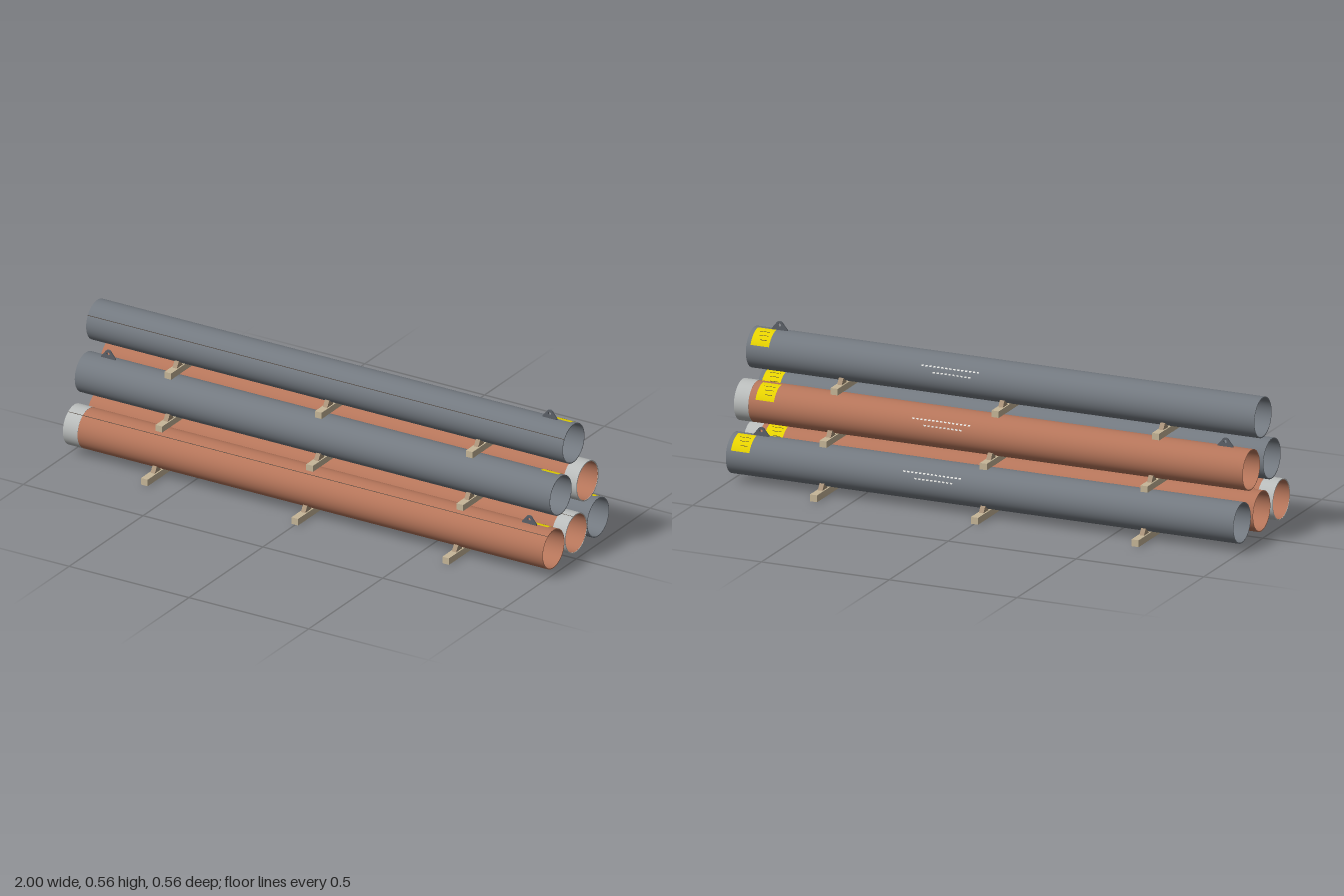
import * as THREE from 'three';
import { mergeGeometries } from 'three/addons/utils/BufferGeometryUtils.js';

const R = 0.075, WALL = 0.004;

const mat = (name, color, side = THREE.FrontSide) =>
  Object.assign(new THREE.MeshStandardMaterial({ color, side }), { name });

// Hollow tube along x with crisp rims
function tubeGeometry(x0, x1, ro, ri) {
  const p = [[ro, x0], [ro, x1], [ri, x1], [ri, x0], [ro, x0]].map(([r, y]) => new THREE.Vector2(r, y));
  const parts = [0, 1, 2, 3].map(i => new THREE.LatheGeometry([p[i], p[i + 1]], 64));
  return mergeGeometries(parts).rotateZ(-Math.PI / 2);
}

// Thin curved plate on a pipe; angles in degrees up from +z towards the back
function plateGeometry(x0, x1, a0, a1, r) {
  const t0 = THREE.MathUtils.degToRad(-a1), len = THREE.MathUtils.degToRad(a1 - a0);
  const segs = Math.max(1, Math.ceil((a1 - a0) / 5));
  return new THREE.CylinderGeometry(r, r, x1 - x0, segs, 1, true, t0, len)
    .rotateZ(-Math.PI / 2).translate((x0 + x1) / 2, 0, 0);
}

// Lifting lug: rounded tapered plate with an eye
function lugGeometry() {
  const s = new THREE.Shape();
  s.moveTo(-0.03, -0.003);
  s.lineTo(0.03, -0.003);
  s.lineTo(0.03, 0.004);
  s.lineTo(0.013, 0.024);
  s.absarc(0, 0.018, 0.0145, 0.43, Math.PI - 0.43, false);
  s.lineTo(-0.03, 0.004);
  s.closePath();
  const eye = new THREE.Path();
  eye.absarc(0, 0.018, 0.006, 0, Math.PI * 2, true);
  s.holes.push(eye);
  return new THREE.ExtrudeGeometry(s, { depth: 0.006, bevelEnabled: false, curveSegments: 12 })
    .translate(0, R, -0.003);
}

// Chock cross-section in (z, y), extruded along x
function chockGeometry(outer, side) {
  const s = new THREE.Shape();
  [[0, 0], [-0.042, 0], [-0.026, 0.022], [-0.014, 0.022]].forEach(([z, y], i) =>
    i ? s.lineTo(z, y) : s.moveTo(z, y));
  s.closePath();
  const g = new THREE.ExtrudeGeometry(s, { depth: 0.018, bevelEnabled: false })
    .translate(outer, 0, -0.009).rotateY(-Math.PI / 2);
  return side > 0 ? g : g.rotateY(Math.PI);
}

export function createModel() {
  const M = {
    grey: mat('steel grey', 0x737980),
    rust: mat('rust primer', 0xb5755a),
    band: mat('pale band', 0xb9bcbb),
    lug: mat('lug steel', 0x5c6168),
    seam: mat('dark seam', 0x4a4038),
    yellow: mat('label yellow', 0xe6d200, THREE.DoubleSide),
    white: mat('stencil white', 0xe4e4e0, THREE.DoubleSide),
    timber: mat('timber', 0xc6b698),
    chock: mat('chock wood', 0xab947a),
  };
  const model = new THREE.Group();
  model.name = 'pipeStack';
  const add = (parent, name, geometry, material) => {
    const m = new THREE.Mesh(geometry, material);
    m.name = name;
    parent.add(m);
    return m;
  };

  // Pipes: band is the end (-1 or 1) carrying a pale sleeve, 0 for none
  const pipes = [
    { z: 0.155, y: 0.1, x0: -1, x1: 1, m: M.rust, band: -1, lug: 0.9, label: 0.9, seam: 58 },
    { z: 0, y: 0.1, x0: -0.995, x1: 0.998, m: M.rust, band: 1, lug: -0.9, label: 0.85, seam: 75 },
    { z: -0.155, y: 0.1, x0: -0.99, x1: 0.995, m: M.grey, band: 0, lug: 0.89, label: 0.905 },
    { z: 0.077, y: 0.275, x0: -1, x1: 0.982, m: M.grey, band: 0, lug: -0.905, label: 0.895 },
    { z: -0.077, y: 0.275, x0: -0.99, x1: 0.998, m: M.rust, band: 1, lug: -0.89, label: 0.845 },
    { z: 0, y: 0.45, x0: -1, x1: 0.988, m: M.grey, band: 0, lug: 0.89, label: 0.9, seam: 32 },
  ];
  pipes.forEach(p => {
    const g = new THREE.Group();
    g.name = 'pipe';
    g.position.set(0, p.y, p.z);
    model.add(g);
    add(g, 'pipeBody', tubeGeometry(p.x0, p.x1, R, R - WALL), p.m);
    if (p.band) {
      const [a, b] = p.band < 0 ? [p.x0 - 0.001, p.x0 + 0.06] : [p.x1 - 0.055, p.x1 + 0.001];
      add(g, 'endBand', tubeGeometry(a, b, R + 0.0006, R - WALL + 0.0004), M.band);
    }
    if (p.seam) add(g, 'weldSeam', plateGeometry(p.x0, p.x1, p.seam - 0.8, p.seam + 0.8, R + 0.0007), M.seam);
    add(g, 'liftingLug', lugGeometry().translate(p.lug, 0, 0), M.lug);

    // Yellow tag with plain dark rules
    add(g, 'tag', plateGeometry(p.label, p.label + 0.072, 95, 158, R + 0.0008), M.yellow);
    const rules = [112, 126, 140].map((a, i) =>
      plateGeometry(p.label + 0.012, p.label + 0.055 - i * 0.008, a, a + 1.5, R + 0.0014));
    add(g, 'tagRules', mergeGeometries(rules), M.seam);

    // Two rows of stencil dashes
    const dashes = [];
    [[148, 0.08, 15], [164, 0.11, 10]].forEach(([a, x, n]) => {
      for (let i = 0; i < n; i++) {
        dashes.push(plateGeometry(x + i * 0.0155, x + i * 0.0155 + 0.009, a - 2, a + 2, R + 0.0008));
      }
    });
    add(g, 'stencilDashes', mergeGeometries(dashes), M.white);
  });

  // Cross timbers with a chock at each outer pipe
  const tiers = [
    { y: 0, h: 0.0255, half: 0.281, chock: 0.225, xs: [-0.63, -0.002, 0.628] },
    { y: 0.1765, h: 0.0235, half: 0.192, chock: 0.148, xs: [-0.624, 0.005, 0.632] },
    { y: 0.3505, h: 0.0245, half: 0.115, chock: 0.07, xs: [-0.634, -0.006, 0.624] },
  ];
  tiers.forEach(t => t.xs.forEach(x => {
    const g = new THREE.Group();
    g.name = 'support';
    g.position.set(x, t.y, 0);
    model.add(g);
    add(g, 'crossTimber', new THREE.BoxGeometry(0.028, t.h, t.half * 2).translate(0, t.h / 2, 0), M.timber);
    for (const side of [1, -1]) add(g, 'chock', chockGeometry(t.chock, side).translate(0, t.h, 0), M.chock);
  }));
  return model;
}
